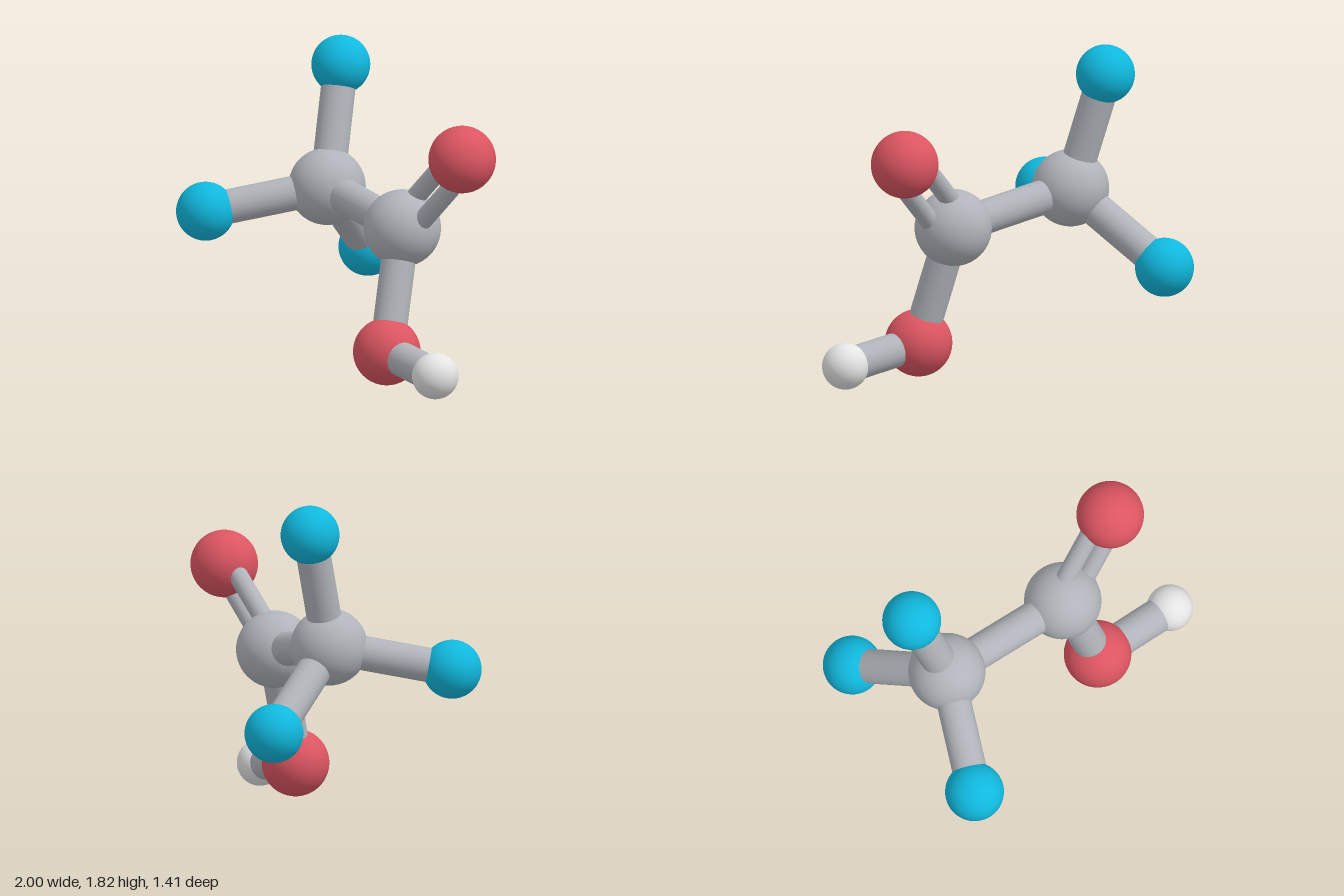
import * as THREE from 'three';

const material = (name, color) => {
  const m = new THREE.MeshStandardMaterial({ color });
  m.name = name;
  return m;
};

export function createModel() {
  const group = new THREE.Group();
  group.name = 'ballAndStickModel';

  const grey = material('grey', 0xb0b4ba);
  const red = material('red', 0xdb5561);
  const cyan = material('cyan', 0x10b8de);
  const white = material('white', 0xe4e4e4);

  // Balls: position, radius, colour
  const balls = {
    greyBallLeft: [[-0.503, 1.003, -0.05], 0.214, grey],
    greyBallRight: [[0.283, 0.869, 0.043], 0.214, grey],
    cyanBallTop: [[-0.604, 1.657, -0.227], 0.163, cyan],
    cyanBallFront: [[-0.84, 0.879, 0.54], 0.163, cyan],
    cyanBallBack: [[-0.76, 0.594, -0.542], 0.163, cyan],
    redBallUpper: [[0.714, 1.293, -0.037], 0.187, red],
    redBallLower: [[0.376, 0.206, 0.226], 0.187, red],
    whiteBall: [[0.872, 0.131, 0.278], 0.129, white],
  };
  const at = (name) => new THREE.Vector3(...balls[name][0]);

  for (const [name, [position, radius, mat]] of Object.entries(balls)) {
    const ball = new THREE.Mesh(new THREE.SphereGeometry(radius, 48, 32), mat);
    ball.name = name;
    ball.position.set(...position);
    group.add(ball);
  }

  // Rod joining two ball centres, shifted sideways by an optional offset
  function addRod(name, from, to, radius = 0.096, offset = new THREE.Vector3()) {
    const a = at(from), b = at(to);
    const direction = b.clone().sub(a);
    const rod = new THREE.Mesh(
      new THREE.CylinderGeometry(radius, radius, direction.length(), 32), grey);
    rod.name = name;
    rod.position.copy(a).add(b).multiplyScalar(0.5).add(offset);
    rod.quaternion.setFromUnitVectors(new THREE.Vector3(0, 1, 0), direction.normalize());
    group.add(rod);
  }

  addRod('centreRod', 'greyBallLeft', 'greyBallRight');
  addRod('topRod', 'greyBallLeft', 'cyanBallTop');
  addRod('frontRod', 'greyBallLeft', 'cyanBallFront');
  addRod('backRod', 'greyBallLeft', 'cyanBallBack');
  addRod('lowerRod', 'greyBallRight', 'redBallLower');
  addRod('endRod', 'redBallLower', 'whiteBall');

  // Pair of thin rods lying in the plane of the right-hand balls
  const axis = at('redBallUpper').sub(at('greyBallRight')).normalize();
  const side = at('redBallLower').sub(at('greyBallRight'));
  side.addScaledVector(axis, -side.dot(axis)).normalize();
  for (const s of [-1, 1]) {
    addRod(s < 0 ? 'doubleRodUpper' : 'doubleRodLower', 'greyBallRight', 'redBallUpper',
      0.054, side.clone().multiplyScalar(0.083 * s));
  }

  return group;
}
